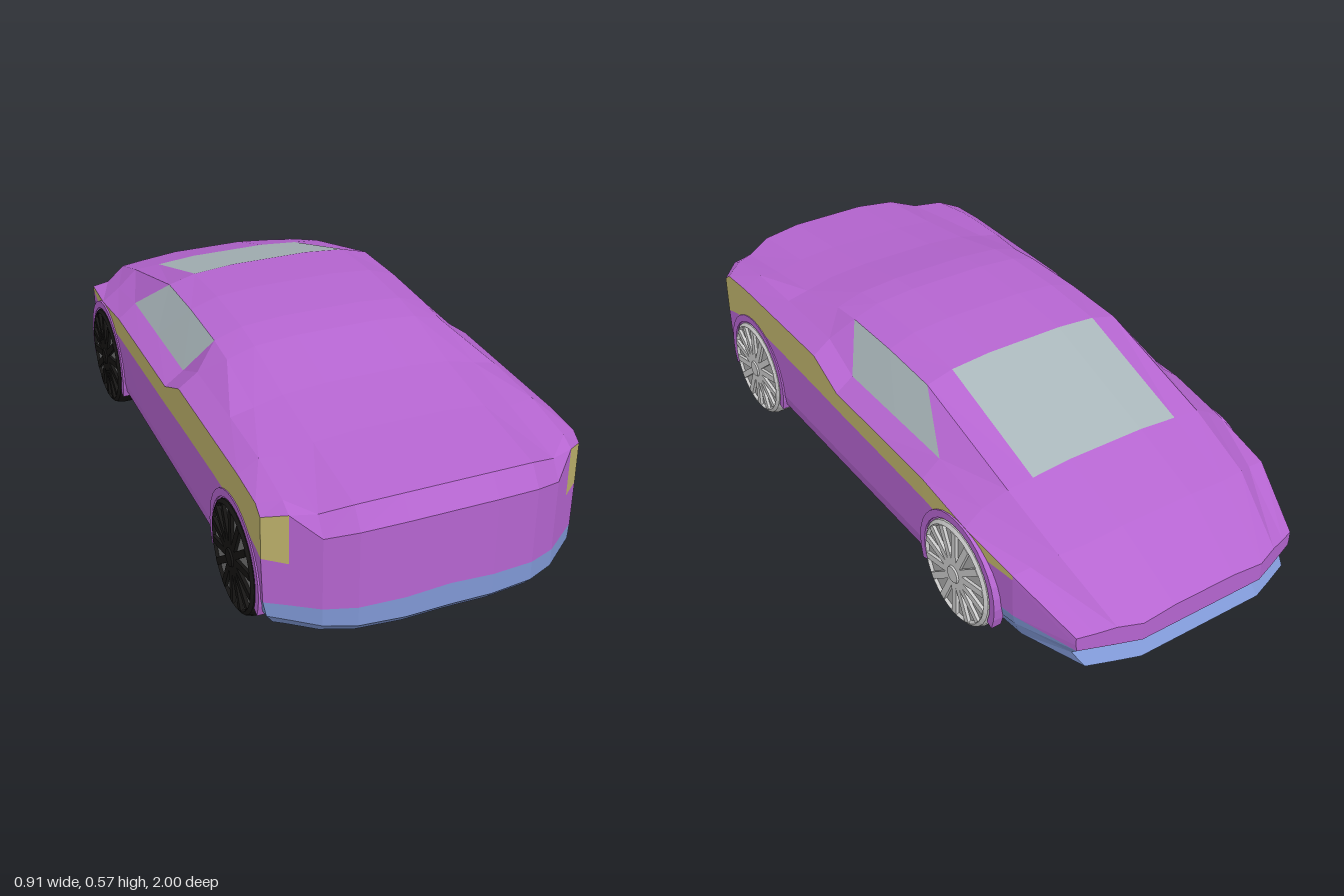
import * as THREE from 'three';

const COLORS = { bodyPanels: 0xb565d0, sideBand: 0xbfb36c, bumpers: 0x7f97d4, windows: 0xa9b6ba };
const COLS = [0, 0.12, 0.24, 0.32, 0.385, 0.44];
const SIDE_X = [0.44, 0.437, 0.43, 0.41];

// Stations from +z to -z: z on top, z on the side, half width,
// heights of centre, roof edge, waist, shoulder, band bottom, sill top, sill, floor
const STATIONS = [
  [1.00, 1.00, 0.44, 0.400, 0.370, 0.420, 0.400, 0.280, 0.150, 0.110, 0.080],
  [0.96, 0.94, 0.44, 0.455, 0.420, 0.440, 0.422, 0.290, 0.150, 0.105, 0.085],
  [0.70, 0.70, 0.44, 0.485, 0.455, 0.465, 0.430, 0.320, 0.150, 0.105, 0.090],
  [0.50, 0.50, 0.44, 0.515, 0.485, 0.470, 0.430, 0.320, 0.150, 0.110, 0.090],
  [0.30, 0.24, 0.44, 0.560, 0.525, 0.470, 0.430, 0.315, 0.150, 0.110, 0.092],
  [0.20, 0.11, 0.44, 0.572, 0.535, 0.410, 0.370, 0.310, 0.150, 0.110, 0.094],
  [0.00, -0.13, 0.44, 0.575, 0.538, 0.410, 0.368, 0.305, 0.150, 0.110, 0.095],
  [-0.20, -0.36, 0.44, 0.562, 0.530, 0.410, 0.365, 0.300, 0.150, 0.110, 0.095],
  [-0.58, -0.56, 0.437, 0.435, 0.420, 0.375, 0.335, 0.280, 0.160, 0.115, 0.095],
  [-0.80, -0.77, 0.42, 0.360, 0.345, 0.312, 0.305, 0.292, 0.170, 0.140, 0.095],
  [-1.00, -1.00, 0.36, 0.235, 0.228, 0.218, 0.212, 0.190, 0.170, 0.140, 0.112],
];
const LAST = STATIONS.length - 1;

// Rounds both ends of the car in plan
function planZ(x, z) {
  if (z > 0.7) {
    const sag = x < 0.12 ? 0 : x < 0.24 ? (x - 0.12) * 0.125
      : x < 0.32 ? 0.015 + (x - 0.24) * 0.44 : 0.05 + (x - 0.32) * 0.83;
    return z - sag * (z - 0.7) / 0.3;
  }
  if (z < -0.7) return z + Math.max(0, x - 0.2) * 0.375 * (-0.7 - z) / 0.3;
  return z;
}

// Point c of station i: 0-5 run over the top, 6-9 down the side
function shellPoint(i, c) {
  const [zTop, zSide, hw, yc, yEdge, yWaist, yShoulder, ...low] = STATIONS[i];
  const k = hw / 0.44;
  if (c > 5) {
    const x = SIDE_X[c - 6] * k;
    return [x, low[c - 6], planZ(x, zSide) + inset(i, c)];
  }
  const x = COLS[c] * k;
  return [x, [yc, yc, yc - 0.01, yEdge, yWaist, yShoulder][c], planZ(x, c < 4 ? zTop : zSide)];
}

// Undercuts below the two end faces
function inset(i, row) {
  if (i === 0 && row === 9) return -0.025;
  if (i === LAST && row === 8) return 0.03;
  return 0;
}

// Point on an end face or on the floor, at column c and level row (6-9)
function innerPoint(i, row, c) {
  if (c === 5) return shellPoint(i, row);
  const s = STATIONS[i];
  const x = COLS[c] * s[2] / 0.44;
  const bump = i === 0 ? [0, 0.035, 0.01, 0.012][row - 6] * (1 - c / 5) : 0;
  return [x, s[row + 1] + bump, planZ(x, c < 4 ? s[0] : s[1]) + inset(i, row)];
}

function buildBody() {
  const soup = { bodyPanels: [], sideBand: [], bumpers: [], windows: [] };
  // Adds a quad and its mirror image
  const quad = (name, p, q, t, s, flip = false) => {
    const m = ([x, y, z]) => [-x, y, z];
    const out = [p, q, s, q, t, s];
    const back = [p, s, q, q, s, t];
    soup[name].push(...(flip ? back : out).flat(), ...(flip ? out : back).map(m).flat());
  };

  // Top and sides
  for (let i = 0; i < LAST; i++) {
    for (let c = 0; c < 9; c++) {
      let name = 'bodyPanels';
      if (c === 3 && (i === 5 || i === 6)) name = 'windows';
      if (c < 2 && i === 7) name = 'windows';
      if (c === 5 && i < 9) name = 'sideBand';
      if (c > 6 && (i < 2 || i > 7)) name = 'bumpers';
      quad(name, shellPoint(i, c), shellPoint(i, c + 1), shellPoint(i + 1, c + 1), shellPoint(i + 1, c));
    }
    // Floor
    for (let c = 0; c < 5; c++) {
      quad('bodyPanels', innerPoint(i, 9, c), innerPoint(i, 9, c + 1),
        innerPoint(i + 1, 9, c + 1), innerPoint(i + 1, 9, c), true);
    }
  }

  // End faces
  for (const i of [0, LAST]) {
    for (let row = 5; row < 9; row++) {
      const at = (r, c) => (r === 5 ? shellPoint(i, c) : innerPoint(i, r, c));
      for (let c = 0; c < 5; c++) {
        let name = row > 6 ? 'bumpers' : 'bodyPanels';
        if (i === 0 && row === 5 && c === 4) name = 'sideBand';
        quad(name, at(row, c), at(row, c + 1), at(row + 1, c + 1), at(row + 1, c), i === 0);
      }
    }
  }

  const body = new THREE.Group();
  body.name = 'body';
  for (const [name, pos] of Object.entries(soup)) {
    const geo = new THREE.BufferGeometry();
    geo.setAttribute('position', new THREE.Float32BufferAttribute(pos, 3));
    geo.computeVertexNormals();
    const mat = new THREE.MeshStandardMaterial({ color: COLORS[name], flatShading: true });
    const mesh = new THREE.Mesh(geo, mat);
    mesh.name = name;
    body.add(mesh);
  }
  return body;
}

// Wheel with its outer face towards local +y, turned to face sideways
function buildWheel(side, z) {
  const color = side > 0 ? 0xcccccc : 0x161514;
  const mat = new THREE.MeshStandardMaterial({ color, flatShading: true });
  const wheel = new THREE.Group();
  wheel.name = 'wheel';
  const add = (name, geo, m = mat) => {
    const mesh = new THREE.Mesh(geo, m);
    mesh.name = name;
    wheel.add(mesh);
    return mesh;
  };
  const profile = [[0, 0.315], [0.145, 0.315], [0.158, 0.33], [0.158, 0.425], [0.152, 0.443],
    [0.142, 0.45], [0.135, 0.441]].map(([r, y]) => new THREE.Vector2(r, y));
  add('tyre', new THREE.LatheGeometry(profile, 32));
  const disc = new THREE.CircleGeometry(0.137, 32).rotateX(-Math.PI / 2).translate(0, 0.442, 0);
  add('rimBack', disc, new THREE.MeshStandardMaterial({ color: side > 0 ? 0xaaaaaa : 0x777777 }));
  add('hub', new THREE.CylinderGeometry(0.024, 0.03, 0.014, 16).translate(0, 0.449, 0));
  for (let k = 0; k < 14; k++) {
    const spoke = add('spoke', new THREE.BoxGeometry(0.12, 0.01, 0.02).translate(0.08, 0.446, 0));
    spoke.rotation.y = (k / 14) * Math.PI * 2;
  }
  wheel.rotation.z = -side * Math.PI / 2;
  wheel.position.set(0, 0.158, z);
  return wheel;
}

// Thin lip around the wheel opening
function buildArch(side, z) {
  const shape = new THREE.Shape();
  shape.absarc(0, 0, 0.18, -0.38, Math.PI + 0.38, false);
  shape.absarc(0, 0, 0.158, Math.PI + 0.38, -0.38, true);
  const geo = new THREE.ExtrudeGeometry(shape, { depth: 0.03, bevelEnabled: false, curveSegments: 10 });
  geo.rotateY(Math.PI / 2);
  const mat = new THREE.MeshStandardMaterial({ color: COLORS.bodyPanels, flatShading: true });
  const arch = new THREE.Mesh(geo, mat);
  arch.name = 'wheelArch';
  arch.position.set(side > 0 ? 0.413 : -0.443, 0.158, z);
  return arch;
}

export function createModel() {
  const car = new THREE.Group();
  car.name = 'car';
  car.add(buildBody());
  for (const side of [1, -1]) {
    for (const z of [0.66, -0.525]) car.add(buildWheel(side, z), buildArch(side, z));
  }
  return car;
}
